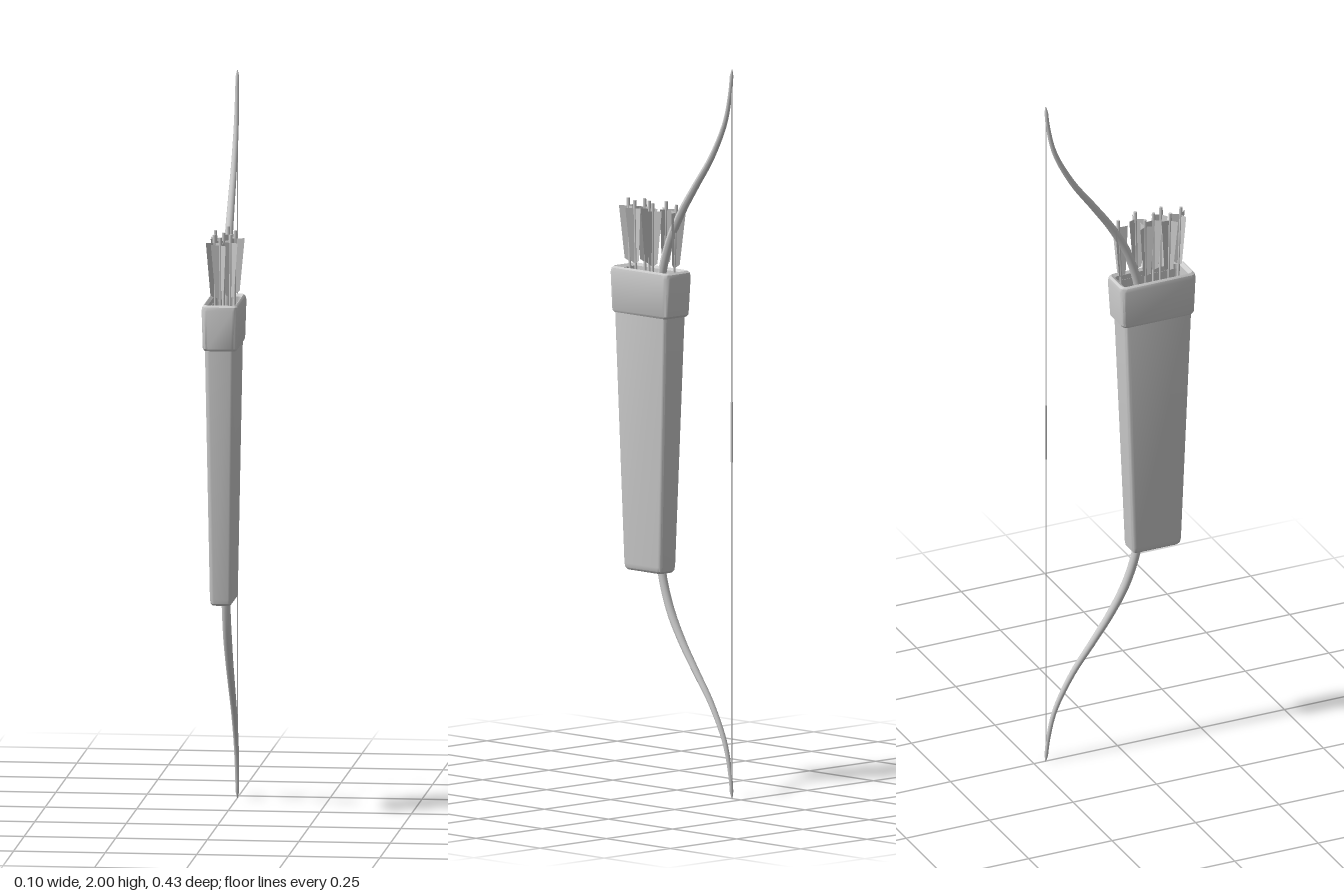
import * as THREE from 'three';
import { toCreasedNormals } from 'three/addons/utils/BufferGeometryUtils.js';

const grey = new THREE.MeshStandardMaterial({ color: 0xcccccc });
const thin = new THREE.MeshStandardMaterial({ color: 0xcccccc, side: THREE.DoubleSide });

function add(parent, name, geometry, material = grey) {
  const mesh = new THREE.Mesh(geometry, material);
  mesh.name = name;
  parent.add(mesh);
  return mesh;
}

// Skin rounded-rectangle rings given as [y, halfX, zBack, zFront, cornerRadius]
function loft(rings) {
  const steps = 5, count = steps * 4, pos = [], idx = [];
  for (const [y, hx, z0, z1, r] of rings) {
    const hz = (z1 - z0) / 2, zc = (z0 + z1) / 2;
    for (let c = 0; c < 4; c++) {
      const sx = c === 0 || c === 3 ? 1 : -1, sz = c < 2 ? 1 : -1;
      for (let s = 0; s < steps; s++) {
        const a = (c + s / (steps - 1)) * Math.PI / 2;
        pos.push(sx * (hx - r) + r * Math.cos(a), y, zc + sz * (hz - r) + r * Math.sin(a));
      }
    }
  }
  for (let i = 0; i < rings.length - 1; i++) {
    for (let j = 0; j < count; j++) {
      const a = i * count + j, b = i * count + (j + 1) % count;
      idx.push(a, a + count, b, b, a + count, b + count);
    }
  }
  const g = new THREE.BufferGeometry();
  g.setAttribute('position', new THREE.Float32BufferAttribute(pos, 3));
  g.setIndex(idx);
  return toCreasedNormals(g, 0.6);
}

// Recurved bow, mirrored about its middle, tapering to the tips
function bowGeometry() {
  const half = [[-0.215, 0], [-0.207, 0.07], [-0.187, 0.15], [-0.135, 0.25], [-0.073, 0.335],
    [-0.02, 0.41], [0.025, 0.49], [0.057, 0.585], [0.073, 0.7], [0.08, 0.85]];
  const pts = half.map(([z, y]) => new THREE.Vector3(0, y, z));
  pts.push(...half.slice().reverse().map(([z, y]) => new THREE.Vector3(0, 2 - y, z)));
  const curve = new THREE.CatmullRomCurve3(pts), n = 120, sides = 12;
  const g = new THREE.TubeGeometry(curve, n, 0.012, sides);
  const p = g.attributes.position, v = new THREE.Vector3();
  for (let i = 0; i <= n; i++) {
    const c = curve.getPointAt(i / n), end = Math.min(i, n - i) / n;
    const k = end === 0 ? 0.1 : 0.4 + 0.6 * Math.min(1, end / 0.25);
    for (let j = 0; j <= sides; j++) {
      const q = i * (sides + 1) + j;
      v.fromBufferAttribute(p, q).sub(c).multiplyScalar(k).add(c);
      p.setXYZ(q, v.x, v.y, v.z);
    }
  }
  g.computeVertexNormals();
  return g;
}

// Arrow with its nock at the top, origin at the nock
function makeArrow() {
  const arrow = new THREE.Group();
  arrow.name = 'arrow';
  add(arrow, 'arrowShaft', new THREE.CylinderGeometry(0.0035, 0.0035, 0.98, 8)).position.y = -0.5;
  add(arrow, 'arrowNock', new THREE.CylinderGeometry(0.0045, 0.005, 0.022, 8)).position.y = -0.011;
  const outline = new THREE.Shape([[0, -0.175], [0.014, -0.165], [0.026, -0.02], [0.0, -0.022]]
    .map(([x, y]) => new THREE.Vector2(x, y)));
  for (let i = 0; i < 3; i++) {
    add(arrow, 'arrowVane', new THREE.ShapeGeometry(outline), thin).rotation.y = i * Math.PI * 2 / 3;
  }
  return arrow;
}

export function createModel() {
  const model = new THREE.Group();
  model.name = 'bowAndQuiver';

  // Bow and string
  add(model, 'bow', bowGeometry());
  const string = add(model, 'bowString', new THREE.CylinderGeometry(0.0015, 0.0015, 1.97, 6));
  string.position.set(0, 1, -0.214);
  const serving = add(model, 'stringServing', new THREE.CylinderGeometry(0.0028, 0.0028, 0.165, 8));
  serving.position.set(0, 1.005, -0.214);

  // Tapered hollow quiver body, from the closed base up and down the inside to the floor
  const quiver = new THREE.Group();
  quiver.name = 'quiver';
  model.add(quiver);
  add(quiver, 'quiverBody', loft([
    [0.59, 0, 0.105, 0.105, 0],
    [0.59, 0.024, 0.04, 0.172, 0.01],
    [0.596, 0.029, 0.034, 0.178, 0.011],
    [0.608, 0.031, 0.032, 0.18, 0.012],
    [1.31, 0.042, 0.005, 0.206, 0.013],
    [1.4, 0.042, 0.003, 0.207, 0.013],
    [1.4, 0.036, 0.009, 0.199, 0.01],
    [0.62, 0.025, 0.038, 0.173, 0.009],
    [0.62, 0, 0.105, 0.105, 0],
  ]));

  // Thick collar with softened edges
  add(quiver, 'quiverCollar', loft([
    [1.3, 0.036, 0.01, 0.2, 0.01],
    [1.295, 0.044, 0, 0.208, 0.013],
    [1.301, 0.047, -0.005, 0.212, 0.014],
    [1.405, 0.05, -0.011, 0.216, 0.015],
    [1.416, 0.048, -0.009, 0.214, 0.015],
    [1.421, 0.043, -0.003, 0.208, 0.013],
    [1.414, 0.037, 0.007, 0.198, 0.01],
    [1.3, 0.035, 0.011, 0.196, 0.01],
  ]));

  // Arrows leaning together toward the quiver floor
  const nocks = [[0, 0.002], [-0.027, 0.07], [0.027, 0.066], [0, 0.108],
    [-0.021, 0.148], [0.023, 0.141], [0, 0.19]];
  const up = new THREE.Vector3(0, 1, 0);
  nocks.forEach(([x, z], i) => {
    const top = new THREE.Vector3(x, 1.605, z);
    const foot = new THREE.Vector3(x * 0.6, 0.625, 0.105 + (z - 0.105) * 0.58);
    const holder = new THREE.Group();
    holder.name = 'arrowHolder';
    holder.position.copy(top);
    holder.quaternion.setFromUnitVectors(up, top.clone().sub(foot).normalize());
    const arrow = makeArrow();
    arrow.rotation.y = i * 1.9 + 0.3;
    holder.add(arrow);
    model.add(holder);
  });

  return model;
}
